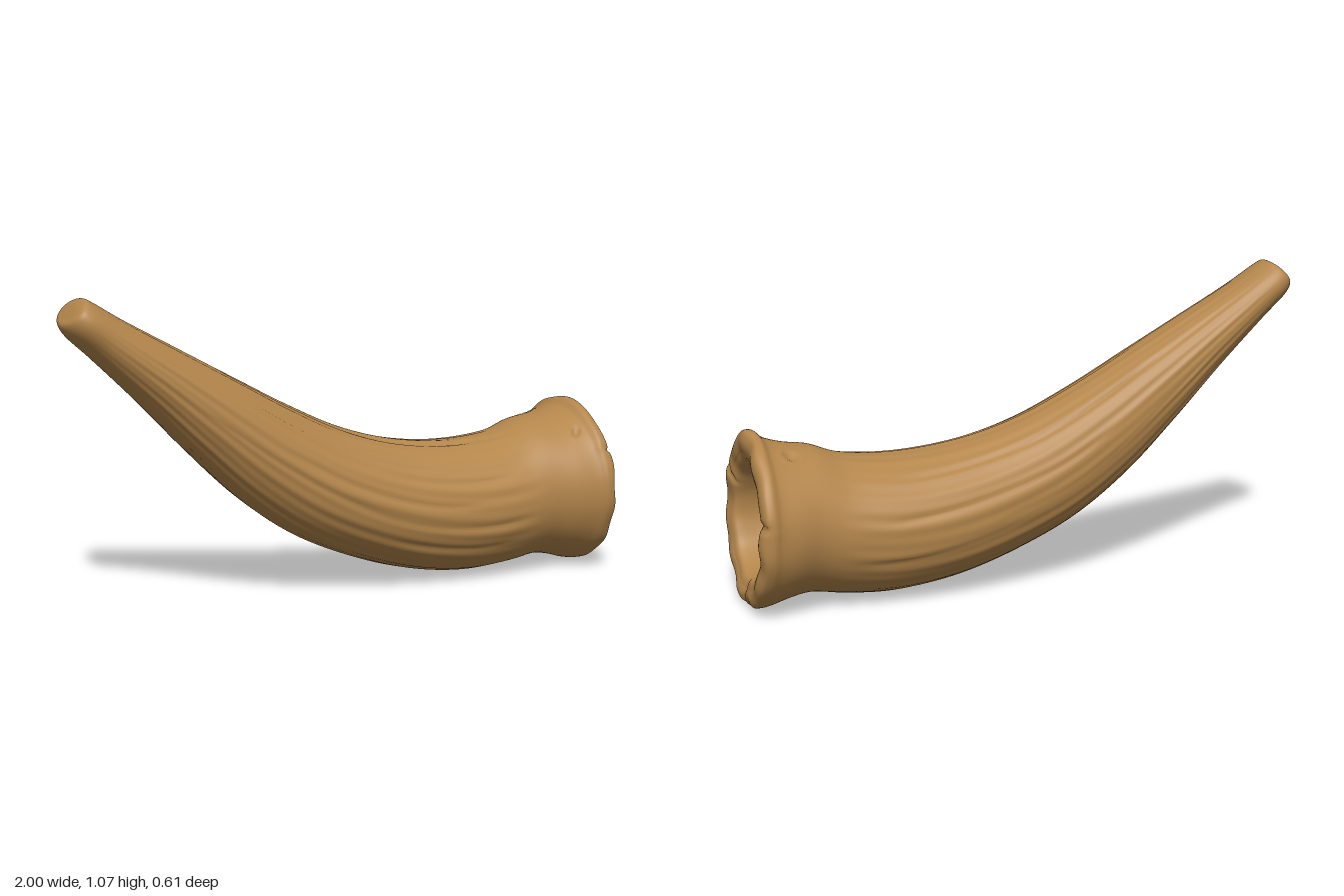
import * as THREE from 'three';
import { mergeVertices } from 'three/addons/utils/BufferGeometryUtils.js';

// Cross-sections from tip to rim and back into the bowl:
// top x, top y, bottom x, bottom y, half-width in z
const SECTIONS = [
  [-0.965, 1.04, -0.965, 1.04, 0],
  [-0.945, 1.06, -0.985, 1.015, 0.06],
  [-0.92, 1.073, -1.0, 0.99, 0.09],
  [-0.89, 1.058, -0.985, 0.958, 0.105],
  [-0.8, 1.002, -0.9, 0.877, 0.115],
  [-0.6, 0.89, -0.73, 0.712, 0.14],
  [-0.4, 0.78, -0.56, 0.535, 0.165],
  [-0.2, 0.67, -0.38, 0.362, 0.187],
  [0, 0.575, -0.18, 0.218, 0.21],
  [0.18, 0.52, 0.04, 0.115, 0.227],
  [0.36, 0.492, 0.26, 0.045, 0.243],
  [0.52, 0.488, 0.48, 0.014, 0.25],
  [0.66, 0.505, 0.66, 0.022, 0.248],
  [0.75, 0.538, 0.78, 0.038, 0.252],
  [0.84, 0.552, 0.86, 0.026, 0.275],
  [0.91, 0.575, 0.92, 0.008, 0.29],
  [0.94, 0.6, 0.955, 0.002, 0.304],
  [0.965, 0.598, 0.985, 0.004, 0.3],
  [0.98, 0.57, 0.998, 0.03, 0.275],
  [0.975, 0.53, 0.99, 0.06, 0.235],
  [0.955, 0.495, 0.97, 0.09, 0.207],
  [0.85, 0.485, 0.87, 0.09, 0.205],
  [0.7, 0.46, 0.72, 0.1, 0.19],
  [0.58, 0.41, 0.6, 0.15, 0.14],
  [0.53, 0.29, 0.53, 0.29, 0],
];
const RIM = 18;      // section index of the lip's front
const STEPS = 8;     // rows between sections
const AROUND = 144;

// Long grooves: start x, end x, angle from the top, depth
const GROOVES = [
  [-0.5, 0.6, 0.2, 0.006], [-0.8, 0.35, 0.85, 0.005], [0.05, 0.65, 1.05, 0.005],
  [-0.3, 0.5, 1.4, 0.005], [-0.1, 0.7, 1.75, 0.004], [0.1, 0.65, 2.1, 0.004],
  [-0.6, 0.1, 1.7, 0.004], [-0.5, 0.55, -0.7, 0.006], [-0.3, 0.6, -1.3, 0.005],
  [-0.7, 0.2, -1.7, 0.004], [0, 0.65, -1.9, 0.004],
];
// Round dimples near the rim: x, z, radius
const DIMPLES = [[0.84, -0.1, 0.035], [0.885, 0.175, 0.02]];
// Cracks in the lip, as angles from the top
const CRACKS = [1.07, 3.12, -1.4];

const bump = (d, width) => Math.exp(-((d / width) ** 2));
const turn = (a, b) => Math.atan2(Math.sin(a - b), Math.cos(a - b));

// Surface relief, positive outwards, for a point on the outside
function relief(a, x, z) {
  const body = THREE.MathUtils.smoothstep(x, -0.95, -0.6) * (1 - THREE.MathUtils.smoothstep(x, 0.55, 0.75));
  let d = body * 0.0013 * (Math.sin(a * 17 + x * 2) + Math.sin(a * 29 - x * 3));
  for (const [x0, x1, angle, depth] of GROOVES) {
    const fade = THREE.MathUtils.smoothstep(x, x0, x0 + 0.15) * (1 - THREE.MathUtils.smoothstep(x, x1 - 0.15, x1));
    d -= fade * depth * bump(turn(a, angle + 0.03 * Math.sin(x * 7)), 0.045);
  }
  for (const [dx, dz, r] of DIMPLES) {
    const dist = Math.hypot(x - dx, z - dz);
    if (Math.cos(a) > 0) d += 0.004 * bump(dist - r, r * 0.25) - 0.012 * bump(dist, r * 0.75);
  }
  return d;
}

function hornGeometry() {
  const curve = (f) => new THREE.CatmullRomCurve3(SECTIONS.map(f));
  const tops = curve((s) => new THREE.Vector3(s[0], s[1], s[4]));
  const bottoms = curve((s) => new THREE.Vector3(s[2], s[3], s[4]));
  const rows = (SECTIONS.length - 1) * STEPS;
  const positions = [];
  const indices = [];
  for (let i = 0; i <= rows; i++) {
    const s = i / STEPS;
    const top = tops.getPoint(i / rows);
    const bottom = bottoms.getPoint(i / rows);
    const mid = top.clone().add(bottom).multiplyScalar(0.5);
    const half = top.clone().sub(bottom).multiplyScalar(0.5);
    const width = i === 0 || i === rows ? 0 : Math.max(top.z, 0);
    const lip = bump(s - RIM, 2);
    const outside = s < RIM - 1 ? 1 : 0;
    for (let j = 0; j < AROUND; j++) {
      const a = (j / AROUND) * Math.PI * 2;
      let x = mid.x + half.x * Math.cos(a);
      const z = width * Math.sin(a);
      let grow = outside * relief(a, x, z);
      // uneven, cracked lip
      const wave = Math.sin(a * 5 + 1) + Math.sin(a * 9) + 0.7 * Math.sin(a * 14 + 2);
      grow += lip * 0.0025 * (wave - 1);
      x += lip * 0.003 * (Math.sin(a * 7) + Math.sin(a * 11 + 1) - 1);
      for (const c of CRACKS) x -= lip * 0.016 * bump(turn(a, c + 0.03 * (s - RIM)), 0.035);
      // soft dents inside the bowl
      if (s > RIM + 1 && i < rows) grow += 0.004 * Math.sin(a * 3 + s) * Math.min(1, width * 5);
      const k = width > 0 ? 1 + grow / width : 0;
      x += half.x * Math.cos(a) * (k - 1);
      positions.push(x, Math.max(0, mid.y + half.y * Math.cos(a) * k), z * k);
    }
  }
  for (let i = 0; i < rows; i++) {
    for (let j = 0; j < AROUND; j++) {
      const p = i * AROUND + j;
      const q = i * AROUND + ((j + 1) % AROUND);
      if (i > 0) indices.push(p, q, p + AROUND);
      if (i < rows - 1) indices.push(q, q + AROUND, p + AROUND);
    }
  }
  const geometry = new THREE.BufferGeometry();
  geometry.setAttribute('position', new THREE.Float32BufferAttribute(positions, 3));
  geometry.setIndex(indices);
  const merged = mergeVertices(geometry, 1e-5);
  merged.computeVertexNormals();
  return merged;
}

export function createModel() {
  const group = new THREE.Group();
  group.name = 'hollowHorn';
  const material = new THREE.MeshStandardMaterial({ color: 0xb4864c });
  material.name = 'hornBrown';
  const horn = new THREE.Mesh(hornGeometry(), material);
  horn.name = 'horn';
  group.add(horn);
  return group;
}
